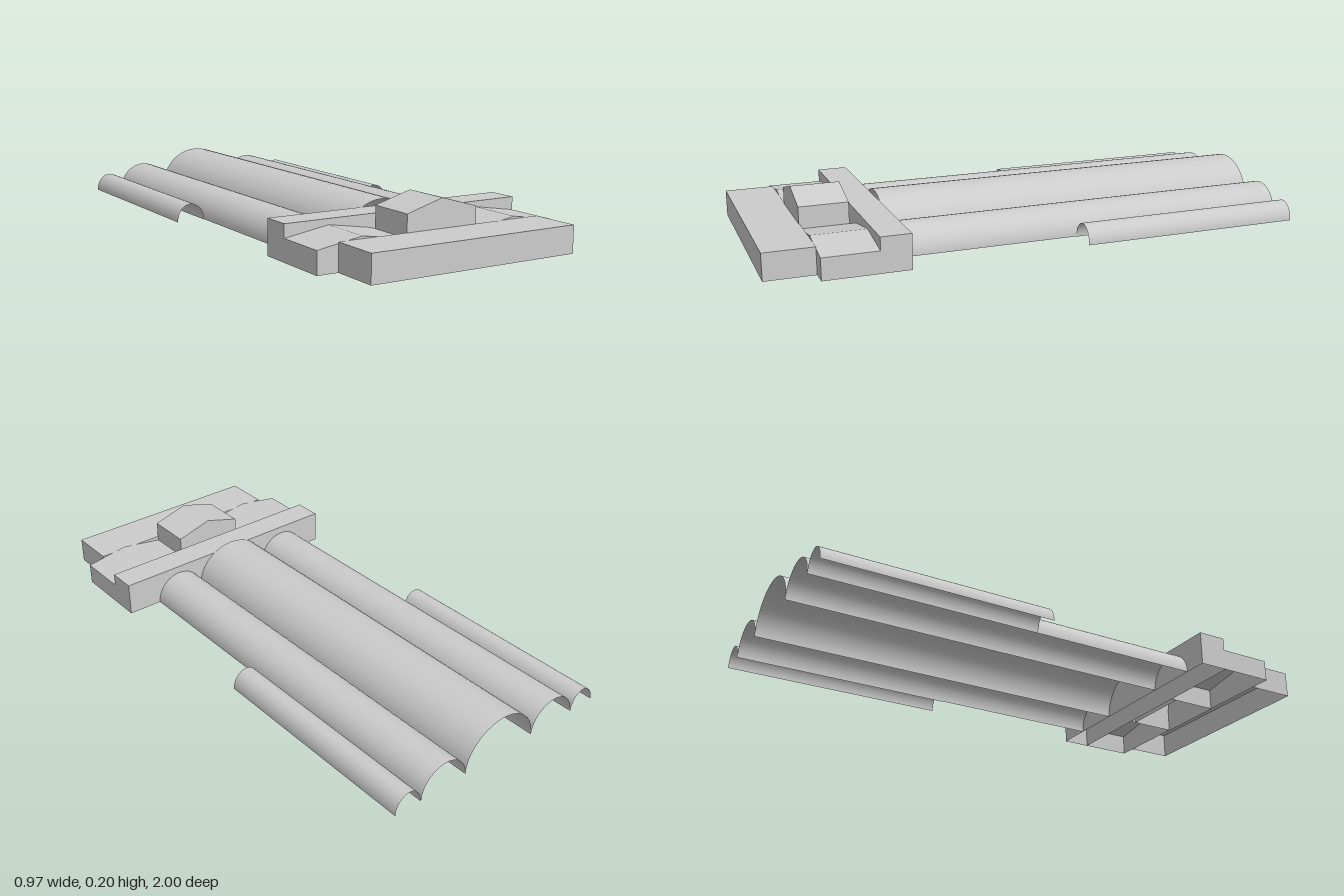
import * as THREE from 'three';

const mat = new THREE.MeshStandardMaterial({ color: 0xcccccc, side: THREE.DoubleSide });

// Building shell: outline in x/y extruded along z, with the floor left open
function shell(name, points, z0, z1) {
  const shape = new THREE.Shape(points.map(([x, y]) => new THREE.Vector2(x, y)));
  const solid = new THREE.ExtrudeGeometry(shape, { depth: z1 - z0, bevelEnabled: false }).toNonIndexed();
  const p = solid.attributes.position;
  const kept = [];
  for (let i = 0; i < p.count; i += 3) {
    if (Math.max(p.getY(i), p.getY(i + 1), p.getY(i + 2)) < 1e-5) continue;
    for (let k = i; k < i + 3; k++) kept.push(p.getX(k), p.getY(k), p.getZ(k) + z0);
  }
  const geo = new THREE.BufferGeometry();
  geo.setAttribute('position', new THREE.Float32BufferAttribute(kept, 3));
  geo.computeVertexNormals();
  const mesh = new THREE.Mesh(geo, mat);
  mesh.name = name;
  return mesh;
}

const block = (name, x0, x1, h, z0, z1) =>
  shell(name, [[x0, 0], [x1, 0], [x1, h], [x0, h]], z0, z1);

const gabled = (name, x0, x1, eave, ridge, z0, z1) =>
  shell(name, [[x0, 0], [x1, 0], [x1, eave], [(x0 + x1) / 2, ridge], [x0, eave]], z0, z1);

// Thin barrel vault, open at both ends and below
function vault(name, x0, x1, h, z0, z1) {
  const geo = new THREE.CylinderGeometry(1, 1, 1, 20, 1, true, -Math.PI / 2, Math.PI);
  geo.rotateX(-Math.PI / 2);
  geo.scale((x1 - x0) / 2, h, z1 - z0);
  geo.translate((x0 + x1) / 2, 0, (z0 + z1) / 2);
  const mesh = new THREE.Mesh(geo, mat);
  mesh.name = name;
  return mesh;
}

export function createModel() {
  const model = new THREE.Group();
  model.name = 'railwayStation';

  // Train shed roofs
  model.add(
    vault('centralVault', -0.17, 0.15, 0.15, -1, 0.51),
    vault('rightVault', -0.375, -0.17, 0.1, -1, 0.51),
    vault('leftVault', 0.15, 0.35, 0.1, -1, 0.51),
    vault('rightOuterVault', -0.487, -0.378, 0.066, -1, -0.15),
    vault('leftOuterVault', 0.353, 0.462, 0.066, -1, -0.15)
  );

  // Station buildings in front of the sheds
  model.add(
    block('crossHall', -0.465, 0.485, 0.128, 0.51, 0.62),
    gabled('rightWing', -0.465, -0.13, 0.08, 0.107, 0.62, 0.82),
    gabled('leftWing', 0.15, 0.485, 0.08, 0.107, 0.62, 0.82),
    gabled('entranceHall', -0.13, 0.15, 0.16, 0.2, 0.643, 0.823),
    block('frontBuilding', -0.387, 0.42, 0.098, 0.82, 1)
  );
  return model;
}
